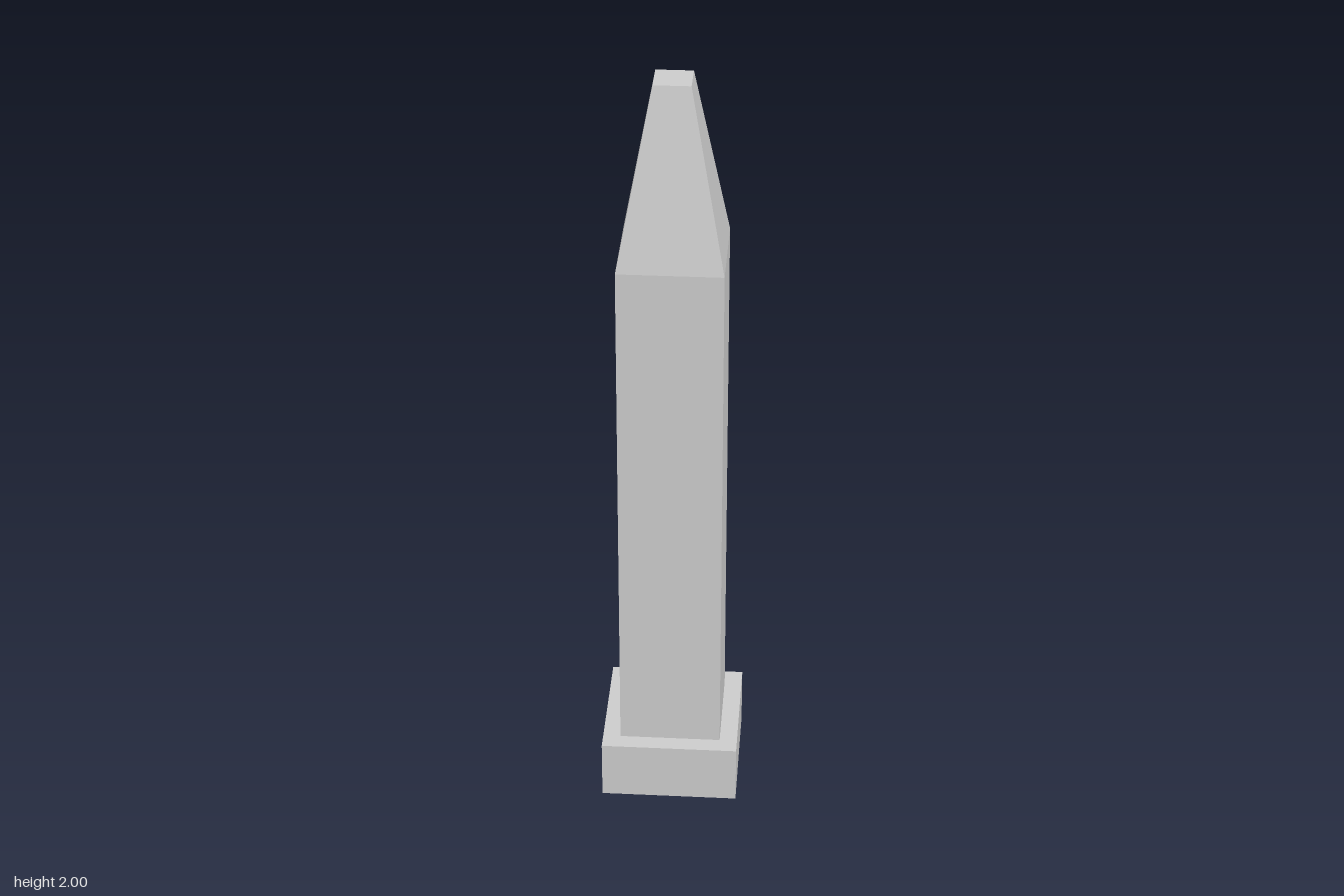
import * as THREE from 'three';

const material = new THREE.MeshStandardMaterial({ color: 0xcccccc, flatShading: true });

// Square block from y0 to y1, with half-widths at its bottom and top
function squareBlock(name, y0, y1, bottomHalf, topHalf) {
  const geometry = new THREE.CylinderGeometry(
    topHalf * Math.SQRT2, bottomHalf * Math.SQRT2, y1 - y0, 4);
  geometry.rotateY(Math.PI / 4);
  geometry.translate(0, (y0 + y1) / 2, 0);
  const mesh = new THREE.Mesh(geometry, material);
  mesh.name = name;
  return mesh;
}

export function createModel() {
  const group = new THREE.Group();
  group.name = 'obelisk';
  group.add(
    squareBlock('plinth', 0, 0.158, 0.178, 0.178),
    squareBlock('shaft', 0.158, 1.543, 0.132, 0.132),
    squareBlock('taperedTop', 1.543, 2, 0.132, 0.046), // flat-topped spire
  );
  return group;
}
